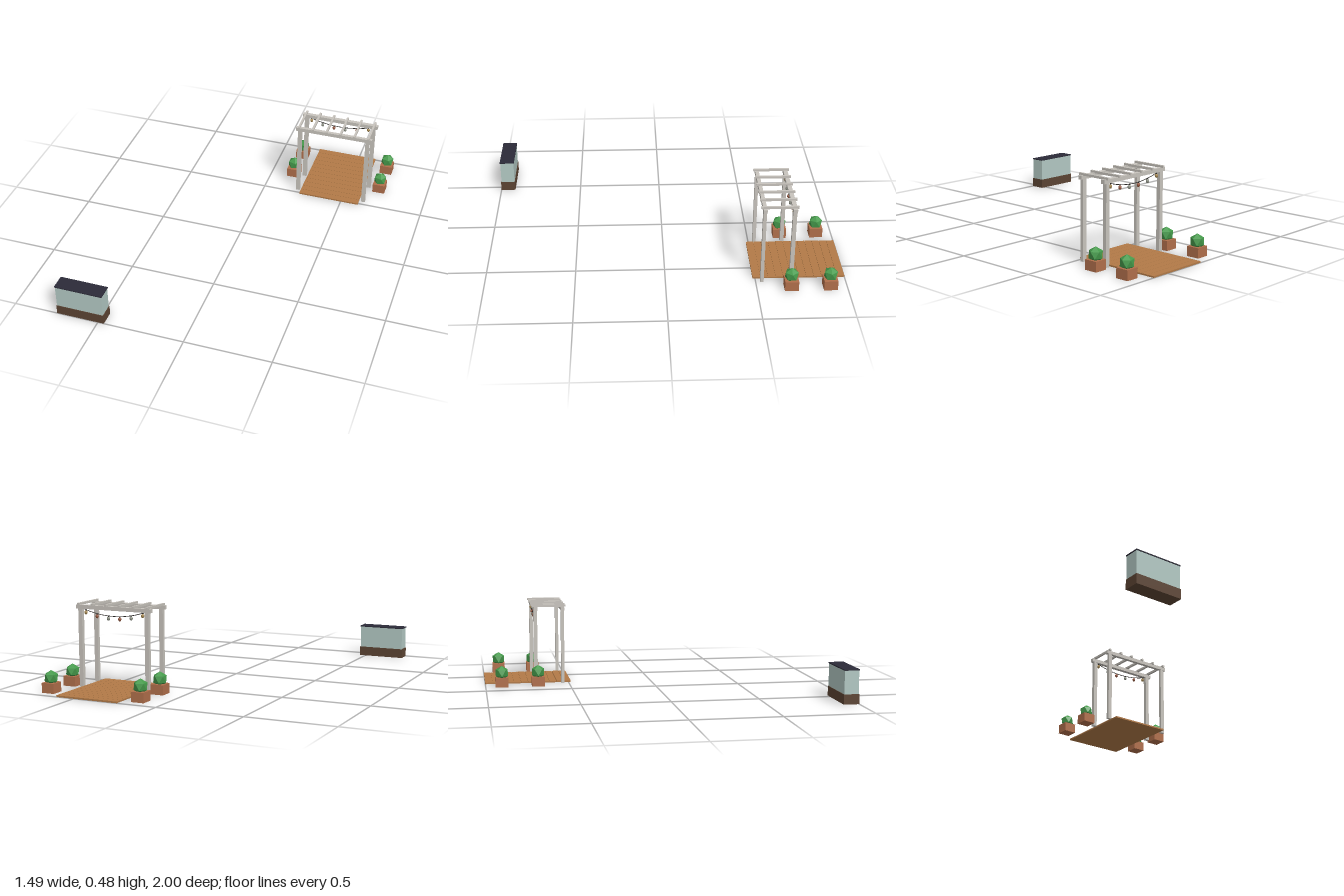
import * as THREE from 'three';

const mat = (name, color, extra = {}) => {
  const m = new THREE.MeshStandardMaterial({ color, ...extra });
  m.name = name;
  return m;
};

export function createModel() {
  const root = new THREE.Group();
  root.name = 'gardenTerrace';

  const wood = mat('deckWood', 0xb27a47);
  const post = mat('weatheredTimber', 0xc8c4bd);
  const clay = mat('terracotta', 0xb06f4b);
  const leaf = mat('leafGreen', 0x459a4b, { flatShading: true });
  const base = mat('darkBrown', 0x5c4433);
  const glass = mat('paleGlass', 0xb2c8c3);
  const lid = mat('slateLid', 0x2c2b38);
  const wire = mat('wire', 0x2a2725);
  const bulbs = [mat('amberBulb', 0xa88a52), mat('greyBulb', 0x92968a), mat('redBulb', 0x98583f)];

  const add = (parent, name, geo, material, x, y, z) => {
    const m = new THREE.Mesh(geo, material);
    m.name = name;
    m.position.set(x, y, z);
    parent.add(m);
    return m;
  };
  // Box given by its min and max on each axis
  const box = (parent, name, material, [x0, x1], [y0, y1], [z0, z1]) =>
    add(parent, name, new THREE.BoxGeometry(x1 - x0, y1 - y0, z1 - z0), material,
      (x0 + x1) / 2, (y0 + y1) / 2, (z0 + z1) / 2);
  const group = (name) => {
    const g = new THREE.Group();
    g.name = name;
    root.add(g);
    return g;
  };

  // Glass display case
  const display = group('displayCase');
  box(display, 'caseBase', base, [-0.744, -0.464], [0, 0.056], [0.912, 1]);
  box(display, 'caseGlass', glass, [-0.741, -0.467], [0.056, 0.187], [0.915, 0.997]);
  box(display, 'caseLid', lid, [-0.744, -0.464], [0.187, 0.193], [0.912, 1]);

  // Deck: thin slab with separate planks running across
  const deck = group('deck');
  const planks = 12, z0 = -1, step = 0.514 / planks;
  box(deck, 'deckSlab', wood, [0.233, 0.609], [0, 0.005], [z0, -0.486]);
  for (let i = 0; i < planks; i++) {
    box(deck, 'plank', wood, [0.232, 0.61], [0.004, 0.009],
      [z0 + i * step + (i ? 0.001 : 0), z0 + (i + 1) * step - (i < planks - 1 ? 0.001 : 0)]);
  }

  // Pergola: four posts, two beams, six rafters
  const pergola = group('pergola');
  const cx = 0.422;
  for (const z of [-0.697, -0.535]) {
    const h = z < -0.6 ? 0.012 : 0.0105;
    for (const s of [-1, 1]) {
      const x = cx + s * 0.211;
      box(pergola, 'post', post, [x - 0.012, x + 0.012], [0, 0.444], [z - h + 0.001, z + h - 0.001]);
    }
    box(pergola, 'beam', post, [cx - 0.237, cx + 0.237], [0.443, 0.465], [z - h, z + h]);
  }
  for (let i = 0; i < 6; i++) {
    const x = cx + (i - 2.5) * 0.0866;
    box(pergola, 'rafter', post, [x - 0.006, x + 0.006], [0.463, 0.476], [-0.718, -0.515]);
  }

  // Sagging string of bulbs under the back beam
  const lights = group('stringLights');
  const zl = -0.697;
  const sag = (x) => 0.41 + 0.031 * ((x - cx) / 0.19) ** 2;
  const pts = Array.from({ length: 9 }, (_, i) => {
    const x = cx + (i / 4 - 1) * 0.19;
    return new THREE.Vector3(x, sag(x), zl);
  });
  add(lights, 'wire', new THREE.TubeGeometry(new THREE.CatmullRomCurve3(pts), 32, 0.002, 5), wire, 0, 0, 0);
  const bulbGeo = new THREE.SphereGeometry(0.01, 10, 8).scale(0.9, 1.15, 0.9);
  const capGeo = new THREE.CylinderGeometry(0.003, 0.004, 0.01, 6);
  const order = [0, 1, 2, 1, 2, 0];
  for (let i = 0; i < 6; i++) {
    const x = cx - 0.001 + (i - 2.5) * 0.0723;
    const y = sag(x) - 0.015;
    add(lights, 'bulb', bulbGeo, bulbs[order[i]], x, y, zl);
    add(lights, 'bulbCap', capGeo, wire, x, y + 0.012, zl);
  }

  // Potted shrubs, two on each side of the deck
  const shrubGeo = new THREE.IcosahedronGeometry(0.042, 0).rotateZ(-0.5536);
  for (const x of [0.142, 0.703]) {
    for (const z of [-0.689, -0.904]) {
      const pot = group('pottedShrub');
      box(pot, 'planter', clay, [x - 0.038, x + 0.038], [0, 0.056], [z - 0.038, z + 0.038]);
      add(pot, 'shrub', shrubGeo, leaf, x, 0.082, z);
    }
  }

  return root;
}
